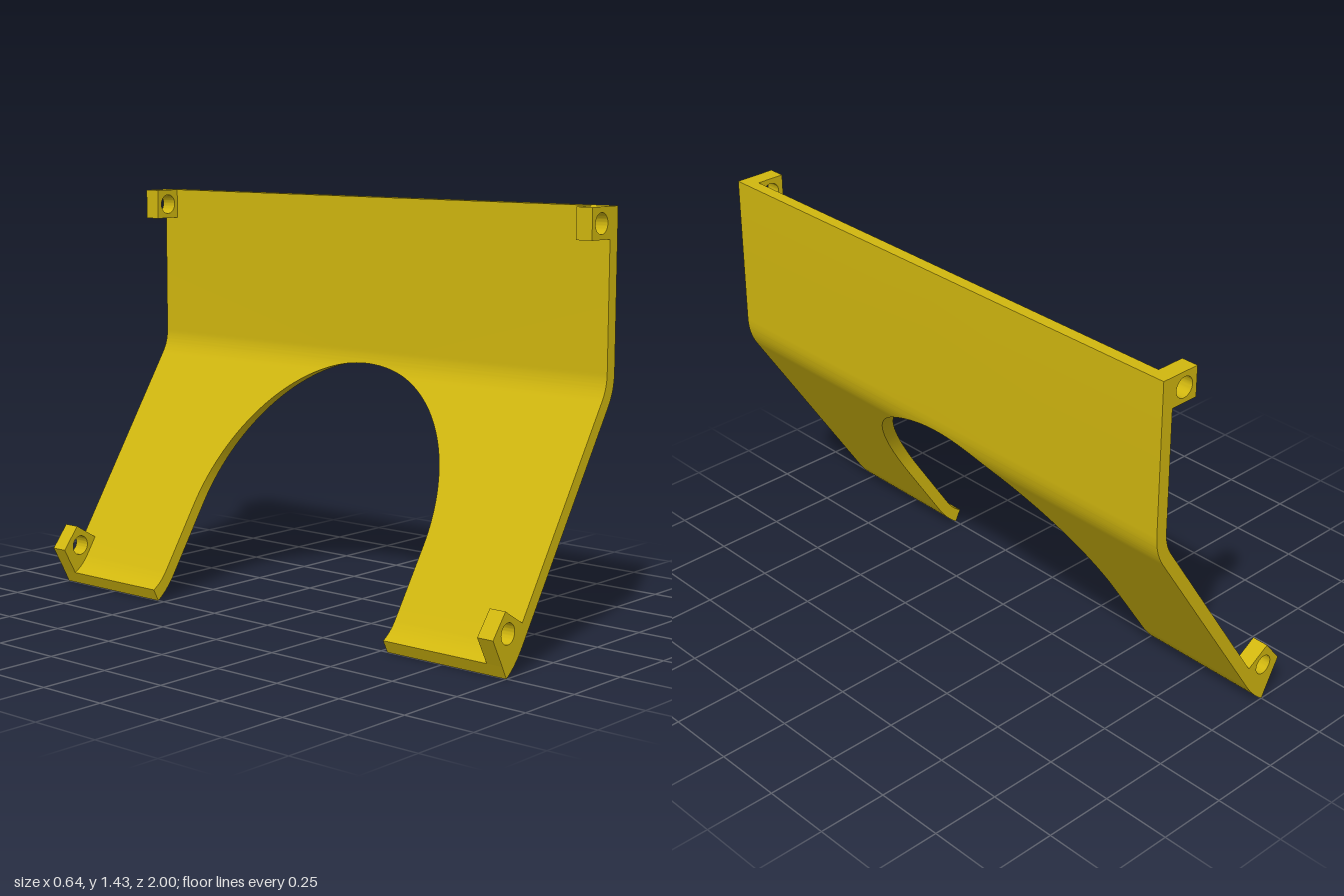
import * as THREE from 'three';
import { toCreasedNormals } from 'three/addons/utils/BufferGeometryUtils.js';

const V = (x, y) => new THREE.Vector2(x, y);
const bend = (a, c, b, n = 10) => new THREE.QuadraticBezierCurve(a, c, b).getPoints(n);

// Profiles of the bent sheet, from the foot up
const outer = [
  ...bend(V(-0.251, 0), V(-0.207, 0.03), V(-0.172, 0.083)),
  ...bend(V(0.284, 0.786), V(0.317, 0.837), V(0.317, 0.9)), V(0.317, 1.43),
];
const footInner = bend(V(-0.273, 0.043), V(-0.235, 0.065), V(-0.21, 0.104));
const inner = [
  V(-0.251, 0), ...footInner, V(-0.172, 0.162),
  ...bend(V(0.248, 0.809), V(0.274, 0.849), V(0.274, 0.896)), V(0.274, 1.43),
];

// Arched cutout, straight sides below and a half circle above
const CUT_R = 0.527, CUT_Y = 0.32;
const cutZ = (y) => y <= CUT_Y ? CUT_R : Math.sqrt(Math.max(0, CUT_R ** 2 - (y - CUT_Y) ** 2));

function xAt(line, y) {
  for (let i = 1; i < line.length; i++) {
    const a = line[i - 1], b = line[i];
    if (y <= b.y) return a.x + (b.x - a.x) * (y - a.y) / (b.y - a.y);
  }
  return line[line.length - 1].x;
}

// Sheet made of horizontal slices, each half reaching from the cutout to its end
function sheetGeometry() {
  const levels = [...outer, ...inner].map((p) => p.y);
  for (let i = 0; i <= 40; i++) levels.push(CUT_Y + CUT_R * Math.sin(i / 40 * Math.PI / 2));
  levels.sort((a, b) => a - b);
  const ys = levels.filter((y, i) => i === 0 || y - levels[i - 1] > 1e-6);
  const rows = ys.map((y) => ({ y, o: xAt(outer, y), i: xAt(inner, y), z: cutZ(y) }));
  const pos = [];
  for (const s of [1, -1]) {
    const quad = (a, b, c, d) => {
      const order = s > 0 ? [a, b, c, a, c, d] : [a, c, b, a, d, c];
      for (const p of order) pos.push(p[0], p[1], p[2] * s);
    };
    for (let k = 1; k < rows.length; k++) {
      const p = rows[k - 1], q = rows[k];
      quad([p.o, p.y, 1], [p.o, p.y, p.z], [q.o, q.y, q.z], [q.o, q.y, 1]);
      quad([p.i, p.y, p.z], [p.i, p.y, 1], [q.i, q.y, 1], [q.i, q.y, q.z]);
      quad([p.i, p.y, 1], [p.o, p.y, 1], [q.o, q.y, 1], [q.i, q.y, 1]);
      if (p.z > 0) quad([p.o, p.y, p.z], [p.i, p.y, p.z], [q.i, q.y, q.z], [q.o, q.y, q.z]);
    }
    const t = rows[rows.length - 1];
    quad([t.i, t.y, 1], [t.o, t.y, 1], [t.o, t.y, 0], [t.i, t.y, 0]);
  }
  const g = new THREE.BufferGeometry();
  g.setAttribute('position', new THREE.Float32BufferAttribute(pos, 3));
  return toCreasedNormals(g, 0.4);
}

// Mounting lug with a round hole
const LUG = 0.06;
function lugGeometry(points, x, y) {
  const shape = new THREE.Shape(points);
  const hole = new THREE.Path();
  hole.absarc(x, y, 0.035, 0, Math.PI * 2, true);
  shape.holes.push(hole);
  const g = new THREE.ExtrudeGeometry(shape, { depth: LUG, bevelEnabled: false, curveSegments: 20 });
  return toCreasedNormals(g, 0.4);
}

export function createModel() {
  const group = new THREE.Group();
  const yellow = new THREE.MeshStandardMaterial({ color: 0xd1b70f });
  yellow.name = 'mustard yellow';
  const add = (name, geometry, z = 0) => {
    const mesh = new THREE.Mesh(geometry, yellow);
    mesh.name = name;
    mesh.position.z = z;
    group.add(mesh);
  };

  add('bentSheet', sheetGeometry());

  const upperLug = lugGeometry(
    [V(0.172, 1.325), V(0.274, 1.325), V(0.274, 1.43), V(0.172, 1.43)], 0.225, 1.377);
  const lowerLug = lugGeometry(
    [...footInner, V(-0.172, 0.162), V(-0.26, 0.215), V(-0.323, 0.135)], -0.246, 0.142);
  for (const [side, z] of [['Front', 1 - LUG], ['Back', -1]]) {
    add('upperLug' + side, upperLug, z);
    add('lowerLug' + side, lowerLug, z);
  }
  return group;
}
